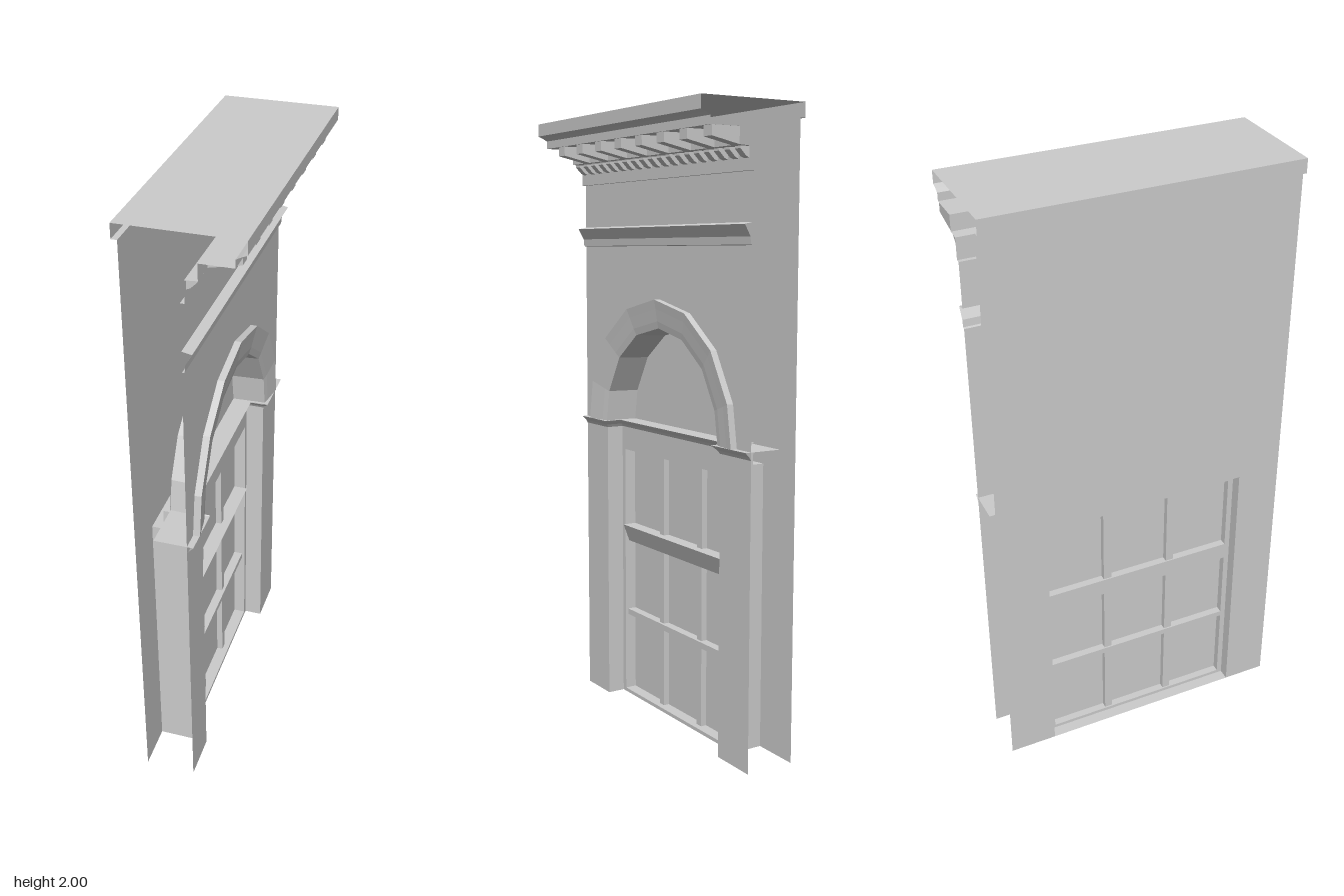
import * as THREE from 'three';

const W = 0.495;      // half width of the bay
const C = 0.007;      // z of the opening's centre line
const OPEN = 0.343;   // half width of the opening
const BACK = -0.164;  // plane of the rear wall
const TYMP = -0.105;  // plane of the arch infill
const FRAME = -0.06;  // front plane of the window frame
const SPRING = 0.99;  // springing height of the arch

const mat = new THREE.MeshStandardMaterial({ color: 0xcccccc, flatShading: true, side: THREE.DoubleSide });

// Flat-shaded sheet through rows of [x, y, z] points
function sheet(rows) {
  const pos = [];
  for (let i = 0; i < rows.length - 1; i++) {
    for (let j = 0; j < rows[i].length - 1; j++) {
      const a = rows[i][j], b = rows[i][j + 1], c = rows[i + 1][j + 1], d = rows[i + 1][j];
      pos.push(...a, ...b, ...c, ...a, ...c, ...d);
    }
  }
  const g = new THREE.BufferGeometry();
  g.setAttribute('position', new THREE.Float32BufferAttribute(pos, 3));
  g.computeVertexNormals();
  return g;
}

// Open moulding: an [x, y] profile run along z
const run = (profile, z0, z1) =>
  sheet([z1, z0].map(z => profile.map(([x, y]) => [x, y, z])));

// Moulding as wide as the opening
const span = profile => run(profile, C - OPEN, C + OPEN);

const shapeOf = pts => new THREE.Shape(pts.map(p => new THREE.Vector2(...p)));

// Flat wall at depth x from [z, y] points
const wall = (pts, x) =>
  new THREE.ShapeGeometry(shapeOf(pts.map(([z, y]) => [-z, y]))).rotateY(Math.PI / 2).translate(x, 0, 0);

const rect = (a, b, y0, y1) => [[a, y0], [b, y0], [b, y1], [a, y1]];

// Solid prism: an [x, y] profile extruded along z about a centre
function prism(profile, width, z) {
  return new THREE.ExtrudeGeometry(shapeOf(profile), { depth: width, bevelEnabled: false })
    .translate(0, 0, z - width / 2);
}

export function createModel() {
  const model = new THREE.Group();
  const add = (name, geometry, parent = model) => {
    const mesh = new THREE.Mesh(geometry, mat);
    mesh.name = name;
    parent.add(mesh);
    return mesh;
  };
  const group = name => {
    const g = new THREE.Group();
    g.name = name;
    model.add(g);
    return g;
  };

  // Rear wall with the window opening
  const [zl, zr] = [C + OPEN, C - OPEN];
  add('rearWall', wall([
    [-W, 0], [zr, 0], [zr, 0.92], [zl, 0.92], [zl, 0], [W, 0], [W, 1.955], [-W, 1.955],
  ], BACK));

  // Faceted arch: front wall cut around it, infill, soffit and raised surround
  const angles = [0, 18, 42, 66, 90, 114, 138, 162, 180].map(THREE.MathUtils.degToRad);
  const onArch = (r, a) => [C - r * Math.cos(a), SPRING + r * Math.sin(a)];
  const arc = angles.map(a => onArch(0.337, a));
  add('frontWall', wall([[-W, SPRING], ...arc, [W, SPRING], [W, 1.59], [-W, 1.59]], 0));
  add('archInfill', wall(arc, TYMP));
  const archProfile = [[0.332, TYMP], [0.337, 0.006], [0.36, 0.011], [0.4, 0.017], [0.43, 0.022], [0.43, 0]];
  add('archSurround', sheet(archProfile.map(([r, x]) => angles.map(a => {
    const [z, y] = onArch(r, a);
    return [x, y, z];
  }))));

  // Piers: front face, stepped reveal and cap plate on each side
  for (const s of [1, -1]) {
    const pier = group(s > 0 ? 'leftPier' : 'rightPier');
    const edge = C + s * OPEN;
    add('pierFace', run([[0, 0], [0, SPRING]], edge, s * W), pier);
    const reveal = shapeOf([[BACK, 0], [0, 0], [0, SPRING], [TYMP, SPRING], [TYMP, 0.92], [BACK, 0.92]]);
    add('pierReveal', new THREE.ShapeGeometry(reveal).translate(0, 0, edge), pier);
    add('pierCap', run([[TYMP, SPRING], [0.02, SPRING]], edge - s * 0.015, s * W), pier);
  }

  // Impost moulding following piers, reveals and lintel
  const path = [
    [0, W, 0], [0, zl, -1], [FRAME, zl, -1],
    [FRAME, zr, 1], [0, zr, 1], [0, -W, 0],
  ];
  const impost = [[0, 0.965], [0.006, 0.975], [0.015, 0.984], [0.02, SPRING]];
  add('impostMoulding', sheet(impost.map(([d, y]) => path.map(([x, z, dz]) => [x + d, y, z + dz * d]))));

  // Ledge below the arch, rear head of the opening and sill
  add('lintelLedge', span([[TYMP, SPRING], [FRAME + 0.02, SPRING]]));
  add('openingHead', span([[BACK, 0.92], [TYMP, 0.92], [TYMP, SPRING]]));
  add('sill', span([[BACK, 0], [FRAME, 0]]));

  // Window: surround and lintel in one piece, set back inside the piers
  const frame = shapeOf(rect(-OPEN, OPEN, 0, SPRING));
  frame.holes.push(new THREE.Path(rect(-0.325, 0.325, 0.012, 0.885).map(p => new THREE.Vector2(...p))));
  add('windowFrame', new THREE.ExtrudeGeometry(frame, { depth: 0.065, bevelEnabled: false })
    .rotateY(Math.PI / 2).translate(FRAME - 0.065, 0, C));
  add('windowPanes', run([[-0.1, 0.012], [-0.1, 0.885]], C - 0.325, C + 0.325));
  for (const s of [1, -1]) {
    add('mullion', new THREE.BoxGeometry(0.04, 0.873, 0.027).translate(-0.1, 0.4485, C + s * 0.115));
  }
  add('glazingBar', prism(rect(-0.125, -0.07, 0.285, 0.305), 0.65, C));
  add('windowTransom', prism([[-0.125, 0.555], [-0.075, 0.555], [-0.052, 0.615], [-0.125, 0.615]], 0.65, C));

  // String course, frieze, cornice and roof slab as one open profile
  add('cornice', run([
    [0, 1.59], [0.008, 1.592], [0.01, 1.615], [0.03, 1.65], [0, 1.656],
    [0, 1.8], [0.013, 1.8], [0.013, 1.868], [0.05, 1.87], [0.05, 1.92],
    [0.15, 1.92], [0.15, 1.945], [0.165, 1.953], [0.182, 1.96], [0.182, 2],
    [-0.182, 2], [-0.182, 1.955], [BACK, 1.955],
  ], -W, W));

  // Modillions under the cornice
  const modillions = group('modillions');
  for (let i = 0; i < 8; i++) {
    add('modillion', prism([[0.05, 1.87], [0.145, 1.89], [0.145, 1.92], [0.05, 1.92]], 0.04, 0.395 - i * 0.1241), modillions);
  }

  // Dentil row
  const dentils = group('dentils');
  for (let i = 0; i < 19; i++) {
    add('dentil', prism([[0.013, 1.835], [0.025, 1.84], [0.045, 1.86], [0.045, 1.867], [0.013, 1.867]], 0.027, 0.468 - i * 0.0525), dentils);
  }

  return model;
}
